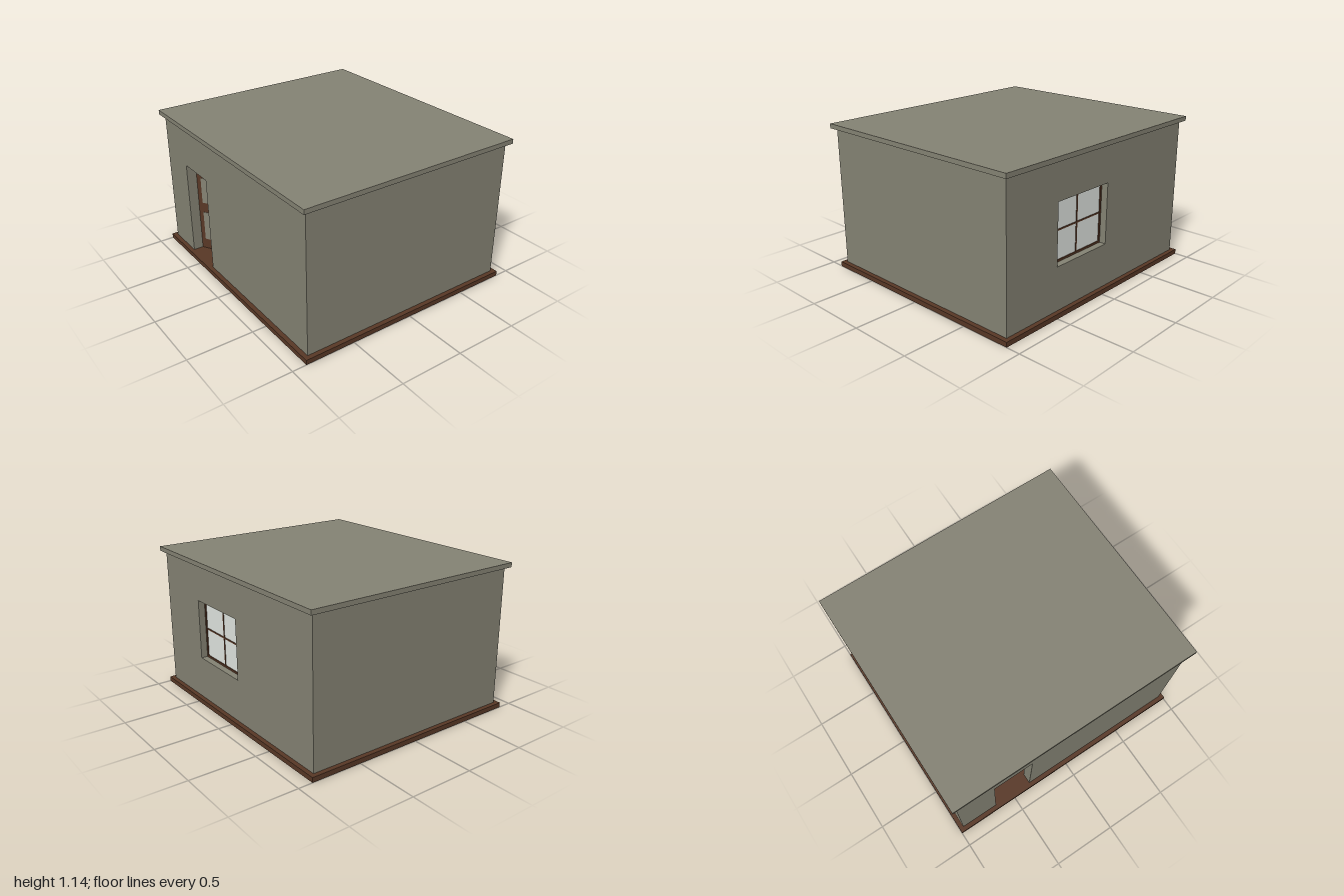
import * as THREE from 'three';

const mat = (name, color) => {
  const m = new THREE.MeshStandardMaterial({ color });
  m.name = name;
  return m;
};

export function createModel() {
  const house = new THREE.Group();
  house.name = 'smallHouse';
  const plaster = mat('grey plaster', 0x858374);
  const wood = mat('dark wood', 0x583826);
  const glass = mat('pale glass', 0xe6ebe6);

  // Box given by its lower and upper corners
  const box = (name, material, x0, x1, y0, y1, z0, z1, parent = house) => {
    const m = new THREE.Mesh(new THREE.BoxGeometry(x1 - x0, y1 - y0, z1 - z0), material);
    m.position.set((x0 + x1) / 2, (y0 + y1) / 2, (z0 + z1) / 2);
    m.name = name;
    parent.add(m);
    return m;
  };

  const W = 0.965, D = 0.858, T = 0.08, floorY = 0.037, topY = 1.11;

  // Floor slab and flat roof
  box('floorSlab', wood, -1, 1, 0, floorY, -0.892, 0.892);
  box('roof', plaster, -1, 1, topY, 1.145, -0.892, 0.892);

  // Side walls
  for (const s of [-1, 1]) {
    const x = s * (W - T / 2);
    box(s < 0 ? 'rightWall' : 'leftWall', plaster, x - T / 2, x + T / 2, floorY, topY, -D + T, D - T);
  }

  // Rectangle outline used for walls and frames
  const rect = (Kind, x0, x1, y0, y1) => new Kind([
    [x0, y0], [x1, y0], [x1, y1], [x0, y1],
  ].map(([x, y]) => new THREE.Vector2(x, y)));

  const extrude = (name, material, shape, depth, z) => {
    const m = new THREE.Mesh(
      new THREE.ExtrudeGeometry(shape, { depth, bevelEnabled: false }), material);
    m.position.z = z;
    m.name = name;
    house.add(m);
  };

  // Front wall with a door opening down to the floor
  const door = { x0: -0.66, x1: -0.34, y1: 0.79 };
  const front = new THREE.Shape([
    [-W, floorY], [door.x0, floorY], [door.x0, door.y1], [door.x1, door.y1],
    [door.x1, floorY], [W, floorY], [W, topY], [-W, topY],
  ].map(([x, y]) => new THREE.Vector2(x, y)));
  extrude('frontWall', plaster, front, T, D - T);

  // Back wall with a window opening
  const win = [-0.06, 0.475, 0.365, 0.825];
  const back = rect(THREE.Shape, -W, W, floorY, topY);
  back.holes.push(rect(THREE.Path, ...win));
  extrude('backWall', plaster, back, T, -D);

  // Window frame, pane and crossing bars
  const [wx0, wx1, wy0, wy1] = win;
  const f = 0.014, zOut = -D + 0.05;
  const frame = rect(THREE.Shape, ...win);
  frame.holes.push(rect(THREE.Path, wx0 + f, wx1 - f, wy0 + f, wy1 - f));
  extrude('windowFrame', wood, frame, 0.028, zOut);
  box('windowPane', glass, wx0 + f, wx1 - f, wy0 + f, wy1 - f, zOut + 0.008, zOut + 0.018);
  const cx = (wx0 + wx1) / 2, cy = (wy0 + wy1) / 2, b = 0.006;
  box('windowBarUpright', wood, cx - b, cx + b, wy0 + f, wy1 - f, zOut + 0.004, zOut + 0.022);
  box('windowBarLevel', wood, wx0 + f, wx1 - f, cy - b, cy + b, zOut + 0.004, zOut + 0.022);

  // Door leaf, ajar inwards on its left-hand hinge
  const leaf = new THREE.Group();
  leaf.name = 'door';
  leaf.position.set(door.x0 + 0.003, 0, D - T + 0.004);
  leaf.rotation.y = Math.PI / 6;
  house.add(leaf);
  box('doorLeaf', wood, 0, 0.32, floorY + 0.003, door.y1, -0.025, 0, leaf);
  for (const [y0, y1] of [[0.125, 0.37], [0.455, 0.67]]) {
    box('doorPanel', plaster, 0.036, 0.288, y0, y1, -0.003, 0.003, leaf);
    box('doorPanelInside', plaster, 0.036, 0.288, y0, y1, -0.028, -0.022, leaf);
  }

  // Low chest inside, against the back wall
  box('chestBody', wood, -0.58, -0.02, floorY, 0.29, -D + T, -0.45);
  box('chestTop', wood, -0.6, 0, 0.29, 0.31, -D + T, -0.43);

  return house;
}
